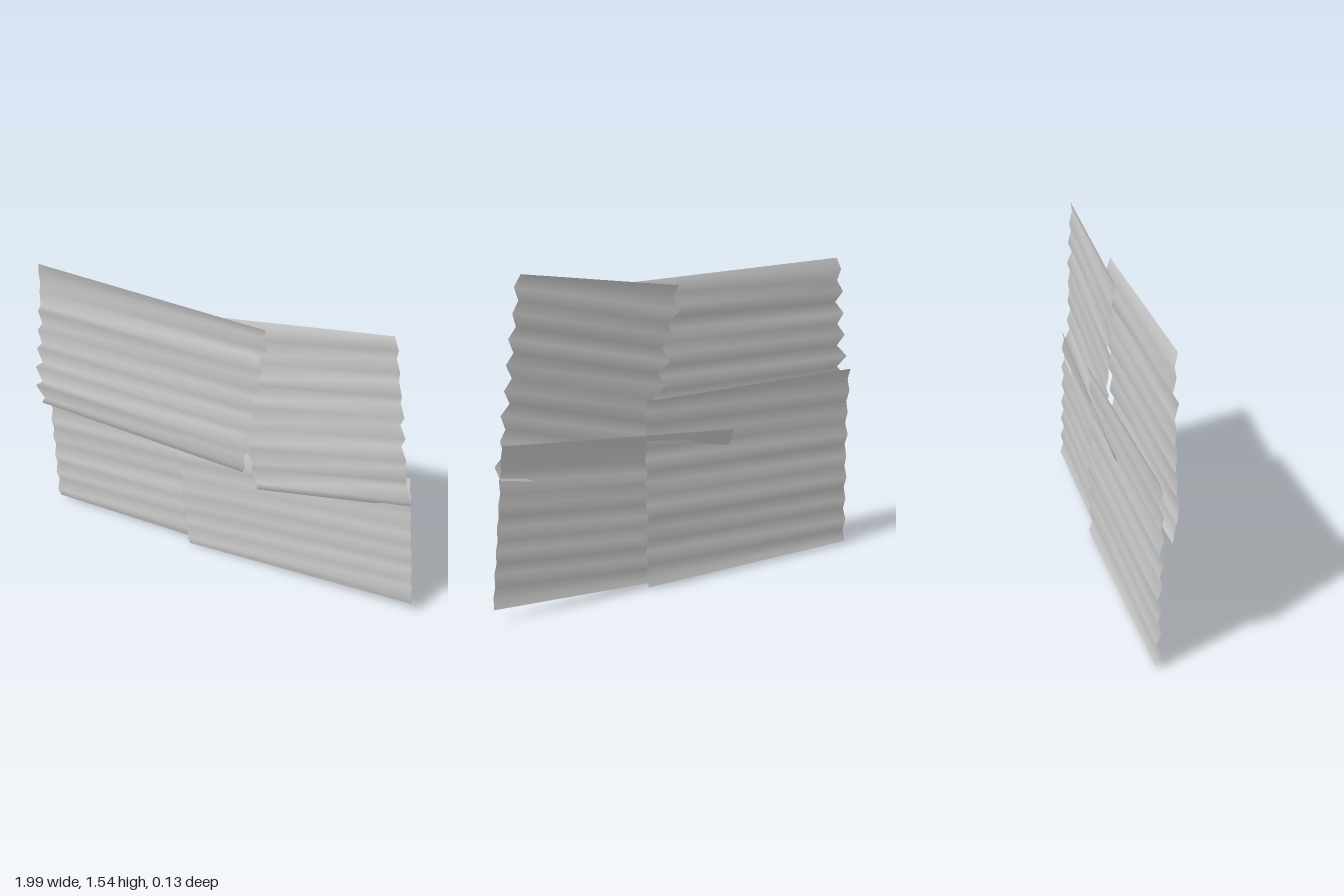
import * as THREE from 'three';

// Small seeded generator returning values in -1..1
function seeded(seed) {
  let s = seed;
  return () => {
    s = (s * 16807) % 2147483647;
    return (s / 2147483647) * 2 - 1;
  };
}

const material = new THREE.MeshStandardMaterial({ color: 0xcccccc, side: THREE.DoubleSide });

// One corrugated sheet: ridges run between a left edge and a right edge.
// Each edge is { bottom: [x, y], top: [x, y], z, jag }.
function corrugatedSheet({ name, left, right, rows, wave, seed, lipLeft = 0 }) {
  const random = seeded(seed);
  const positions = [];
  const index = [];
  for (let i = 0; i <= rows; i++) {
    const t = i / rows;
    const side = i % 2 ? 1 : -1;
    const ridge = wave * (side * 0.65 + random() * 0.35); // shared along the ridge
    for (const edge of [left, right]) {
      const inner = i > 0 && i < rows ? 1 : 0.3;
      const x = THREE.MathUtils.lerp(edge.bottom[0], edge.top[0], t);
      const y = THREE.MathUtils.lerp(edge.bottom[1], edge.top[1], t);
      const lip = edge === left && i >= rows - 1 ? lipLeft : 0;
      positions.push(
        x + inner * edge.jag * (side * 0.6 + random() * 0.4),
        y,
        edge.z + ridge + random() * wave * 0.25 + lip
      );
    }
    if (i < rows) {
      const a = i * 2;
      index.push(a, a + 1, a + 3, a, a + 3, a + 2);
    }
  }
  const geometry = new THREE.BufferGeometry();
  geometry.setAttribute('position', new THREE.Float32BufferAttribute(positions, 3));
  geometry.setIndex(index);
  geometry.computeVertexNormals();
  const mesh = new THREE.Mesh(geometry, material);
  mesh.name = name;
  return mesh;
}

export function createModel() {
  const group = new THREE.Group();
  group.name = 'corrugatedWall';

  const sheets = [
    // Rearmost sheet, upright
    {
      name: 'lowerRightSheet', rows: 16, wave: 0.013, seed: 11,
      left: { bottom: [-0.95, 0.015], top: [-0.95, 0.92], z: -0.045, jag: 0 },
      right: { bottom: [0.22, 0.015], top: [0.22, 0.92], z: -0.045, jag: 0 },
    },
    // Slightly turned sheet whose top inner corner pokes through the rear one
    {
      name: 'lowerLeftSheet', rows: 14, wave: 0.01, seed: 29, lipLeft: -0.045,
      left: { bottom: [-0.18, 0], top: [-0.25, 0.72], z: -0.015, jag: 0 },
      right: { bottom: [0.995, 0.065], top: [0.925, 0.81], z: -0.008, jag: 0 },
    },
    // Tilted sheet
    {
      name: 'upperLeftSheet', rows: 16, wave: 0.015, seed: 47,
      left: { bottom: [0.2, 0.5], top: [0.01, 1.42], z: 0.015, jag: 0.025 },
      right: { bottom: [0.94, 0.655], top: [0.805, 1.545], z: 0.012, jag: 0.018 },
    },
    // Frontmost sheet with the deepest ridges
    {
      name: 'upperRightSheet', rows: 15, wave: 0.02, seed: 83,
      left: { bottom: [-0.975, 0.64], top: [-0.91, 1.465], z: 0.012, jag: 0.03 },
      right: { bottom: [0.13, 0.595], top: [0.24, 1.447], z: 0.042, jag: 0.028 },
    },
  ];
  for (const sheet of sheets) group.add(corrugatedSheet(sheet));
  return group;
}
